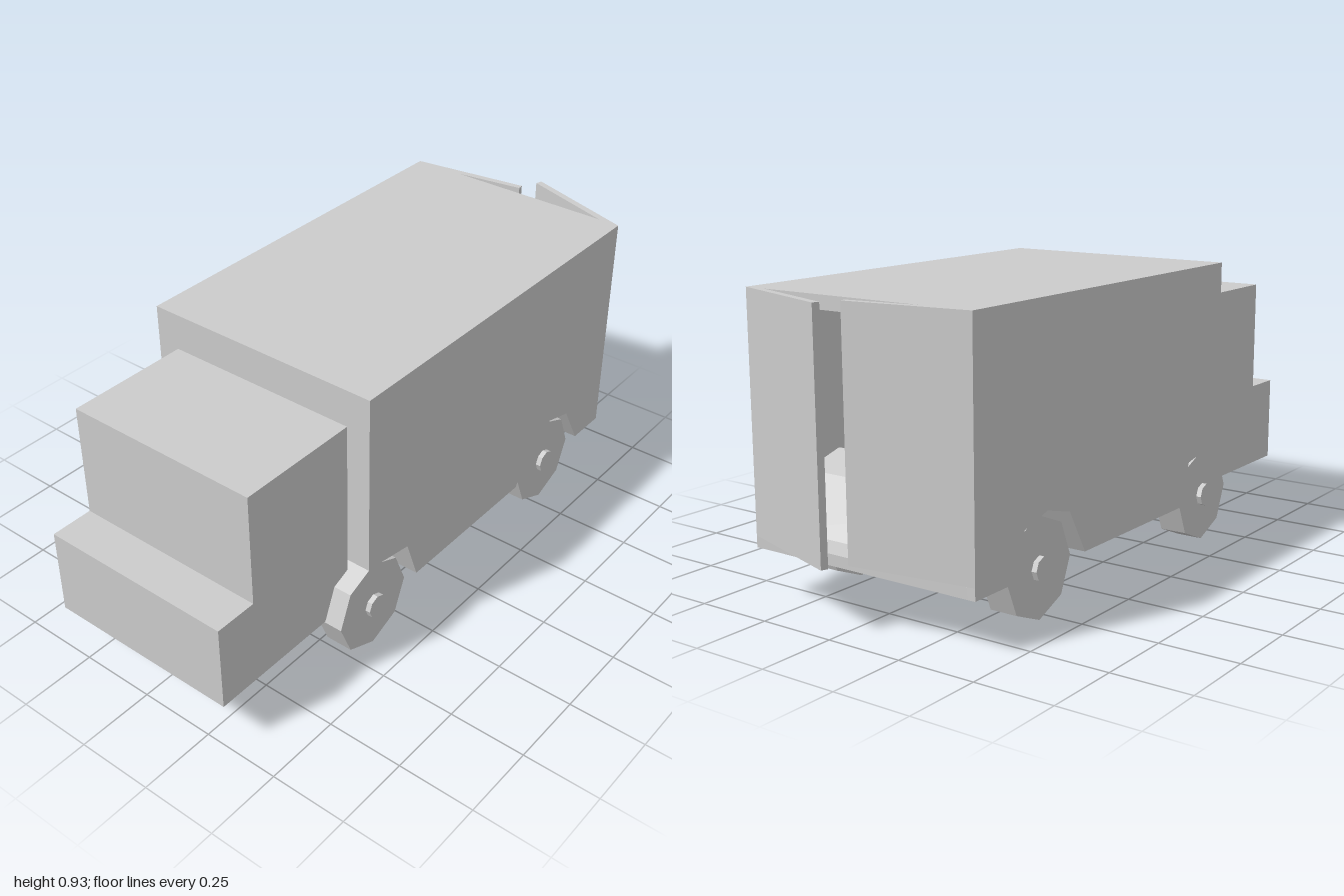
import * as THREE from 'three';

const material = new THREE.MeshStandardMaterial({ color: 0xcccccc, flatShading: true });

function shapeFrom(points) {
  return new THREE.Shape(points.map(([x, y]) => new THREE.Vector2(x, y)));
}

function addMesh(parent, name, geometry) {
  const mesh = new THREE.Mesh(geometry, material);
  mesh.name = name;
  parent.add(mesh);
  return mesh;
}

// Side profile extruded across the vehicle from z0 to z1
function addProfile(parent, name, points, z0, z1) {
  const geometry = new THREE.ExtrudeGeometry(shapeFrom(points), { depth: z1 - z0, bevelEnabled: false });
  return addMesh(parent, name, geometry.translate(0, 0, z0));
}

export function createModel() {
  const model = new THREE.Group();
  model.name = 'boxVan';

  const back = 0.873, front = -0.45, bottom = 0.16, roof = 0.932;
  const zMin = -0.41, zMax = 0.402, wall = 0.025;

  // Lower edge of the cargo box with both wheel arches, front to back
  const underside = [
    [front, 0.33], [-0.40, 0.325], [-0.26, 0.30], [-0.21, bottom],
    [0.35, bottom], [0.43, 0.30], [0.54, 0.33], [0.65, 0.30], [0.73, bottom],
    [back, bottom],
  ];

  // Hollow cargo box: side panels plus a shell of floor, front wall and roof
  const cargo = new THREE.Group();
  cargo.name = 'cargoBox';
  model.add(cargo);
  const side = [...underside, [back, roof], [front, roof]];
  addProfile(cargo, 'sidePanelRight', side, zMin, zMin + wall);
  addProfile(cargo, 'sidePanelLeft', side, zMax - wall, zMax);
  const shell = [
    ...underside, [back, 0.195],
    [0.79, 0.2], [0.68, 0.36], [0.54, 0.40], [0.40, 0.36], [0.29, 0.2],
    [-0.15, 0.2], [-0.22, 0.36], [-0.41, 0.40],
    [-0.41, 0.86], [back, 0.89], [back, roof], [front, roof],
  ];
  addProfile(cargo, 'floorAndRoof', shell, zMin + wall, zMax - wall);

  // Cab with stepped hood
  addProfile(model, 'cab', [
    [-1, bottom], [front, bottom], [front, 0.812],
    [-0.86, 0.812], [-0.86, 0.445], [-1, 0.445],
  ], -0.332, 0.322);

  // Rear doors standing ajar, given as plan outlines of x and z
  const doors = {
    rearDoorRight: [[back, zMin], [0.928, -0.012], [0.908, -0.009], [back, -0.24]],
    rearDoorLeft: [[back, zMax], [1, 0.022], [0.979, 0.015], [back, 0.33]],
  };
  for (const [name, plan] of Object.entries(doors)) {
    const outline = shapeFrom(plan.map(([x, z]) => [x, -z]));
    const geometry = new THREE.ExtrudeGeometry(outline, { depth: roof - 0.197, bevelEnabled: false });
    addMesh(model, name, geometry.rotateX(-Math.PI / 2).translate(0, 0.197, 0));
  }

  // Eight-sided wheels on through axles
  const cylinder = (radius, length) =>
    new THREE.CylinderGeometry(radius, radius, length, 8).rotateX(Math.PI / 2);
  for (const [end, x] of [['front', -0.403], ['rear', 0.543]]) {
    addMesh(model, end + 'Axle', cylinder(0.038, 0.80)).position.set(x, 0.157, 0);
    for (const [sideName, z] of [['Left', 0.338], ['Right', -0.338]]) {
      addMesh(model, end + 'Wheel' + sideName, cylinder(0.155, 0.09)).position.set(x, 0.157, z);
    }
  }

  return model;
}
